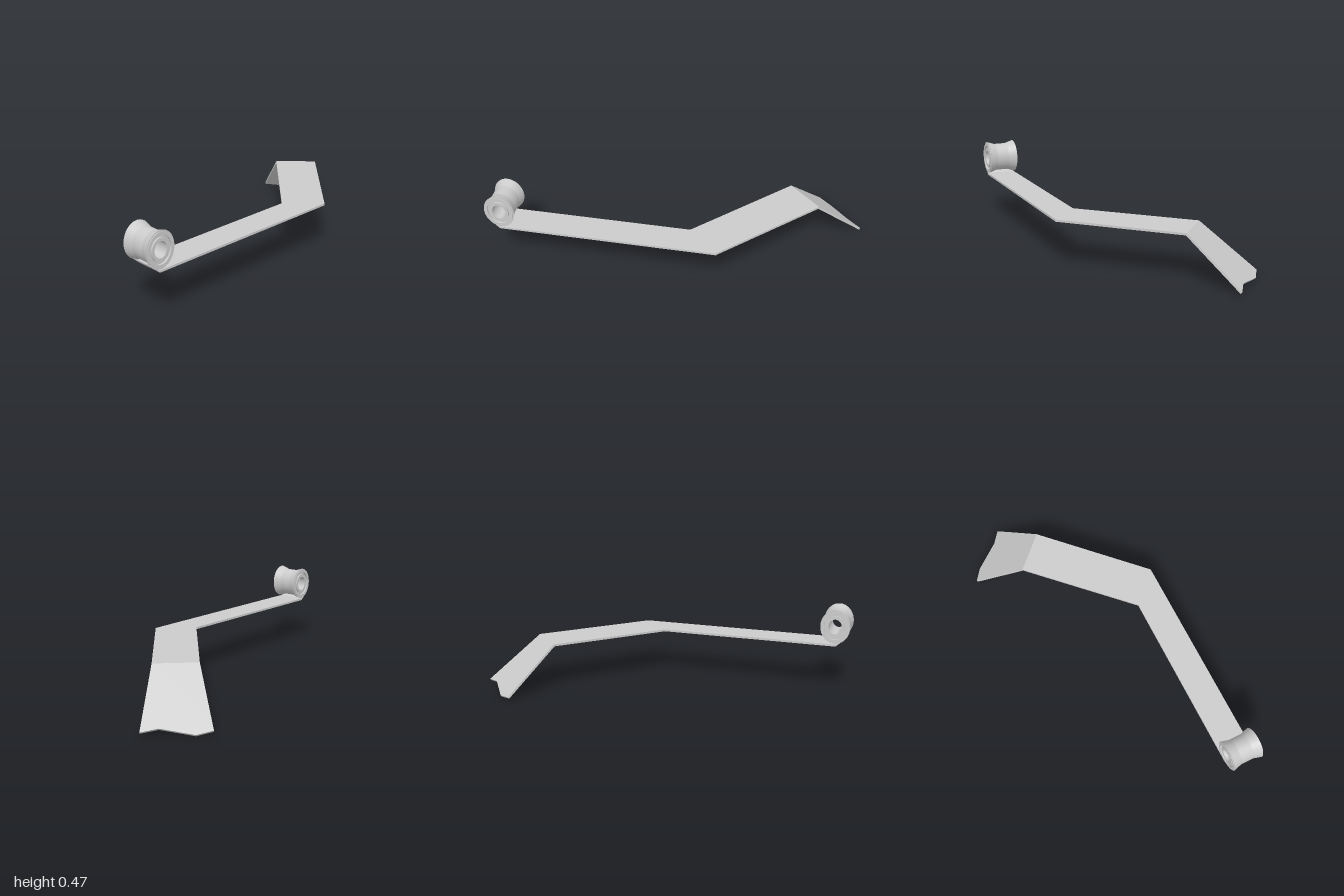
import * as THREE from 'three';

const material = new THREE.MeshStandardMaterial({ color: 0xcccccc });
const T = 0.012; // sheet thickness

// Closed plate between two matching outlines, listed anticlockwise from above.
function plate(name, top, bottom) {
  const n = top.length;
  const pos = [];
  const tri = (a, b, c) => pos.push(...a, ...b, ...c);
  const contour = top.map(([x, , z]) => new THREE.Vector2(x, -z));
  for (const [a, b, c] of THREE.ShapeUtils.triangulateShape(contour, [])) {
    tri(top[a], top[b], top[c]);
    tri(bottom[c], bottom[b], bottom[a]);
  }
  for (let i = 0; i < n; i++) {
    const j = (i + 1) % n;
    tri(bottom[i], bottom[j], top[j]);
    tri(bottom[i], top[j], top[i]);
  }
  const geometry = new THREE.BufferGeometry();
  geometry.setAttribute('position', new THREE.Float32BufferAttribute(pos, 3));
  geometry.computeVertexNormals();
  const mesh = new THREE.Mesh(geometry, material);
  mesh.name = name;
  return mesh;
}

const shift = (p, d) => p.map((v, i) => v + d[i] * T);

export function createModel() {
  const group = new THREE.Group();
  group.name = 'bentArm';

  const Y = 0.275, zF = 0.455, zB = 0.289;
  const down = [0, -1, 0];
  const miter = [-0.258, -1, 0.258]; // offset along the fold
  const flapDown = [-0.455, -0.765, 0.455]; // square to the sloping flap

  // Flat arm with its diagonal turn
  const arm = [
    [-0.925, Y, zF], [0.25, Y, zF], [0.75, Y, -0.04],
    [0.58, Y, -0.21], [0.085, Y, zB], [-0.925, Y, zB],
  ];
  group.add(plate('arm', arm, arm.map((p, i) => shift(p, i === 2 || i === 3 ? miter : down))));

  // Short bevelled lip joining the arm to the roller
  const lip = [[-0.955, 0.292, zF], [-0.925, Y, zF], [-0.925, Y, zB], [-0.955, 0.292, zB]];
  group.add(plate('armLip', lip, [
    [-0.945, 0.282, zF], [-0.925, Y - T, zF], [-0.925, Y - T, zB], [-0.945, 0.282, zB],
  ]));

  // Downward flap with a notched end
  const flap = [
    [0.75, Y, -0.04], [1.0, 0.025, -0.21], [0.925, 0.037, -0.265],
    [0.822, 0.011, -0.41], [0.75, 0.025, -0.46], [0.58, Y, -0.21],
  ];
  group.add(plate('flap', flap, flap.map((p, i) => shift(p, i === 0 || i === 5 ? miter : flapDown))));

  // Waisted roller with stepped end rings and a through hole
  const half = [
    [0.083, 0.036], [0.098, 0.083], [0.091, 0.083], [0.091, 0.087], [0.074, 0.087],
    [0.074, 0.076], [0.061, 0.076], [0.061, 0.085], [0.043, 0.085],
  ];
  const loop = [
    ...half.map(([r, z]) => [r, -z]).reverse(),
    ...half,
    [0.043, -0.085],
  ];
  const roller = new THREE.Group();
  roller.name = 'roller';
  // one lathe per profile segment keeps the ring edges crisp
  for (let i = 0; i < loop.length - 1; i++) {
    const points = [loop[i], loop[i + 1]].map(([r, z]) => new THREE.Vector2(r, z));
    const mesh = new THREE.Mesh(new THREE.LatheGeometry(points, 48), material);
    mesh.name = 'rollerBand';
    roller.add(mesh);
  }
  roller.rotation.x = Math.PI / 2;
  roller.scale.x = 0.85;
  roller.position.set(-0.917, 0.377, 0.372);
  group.add(roller);

  return group;
}
